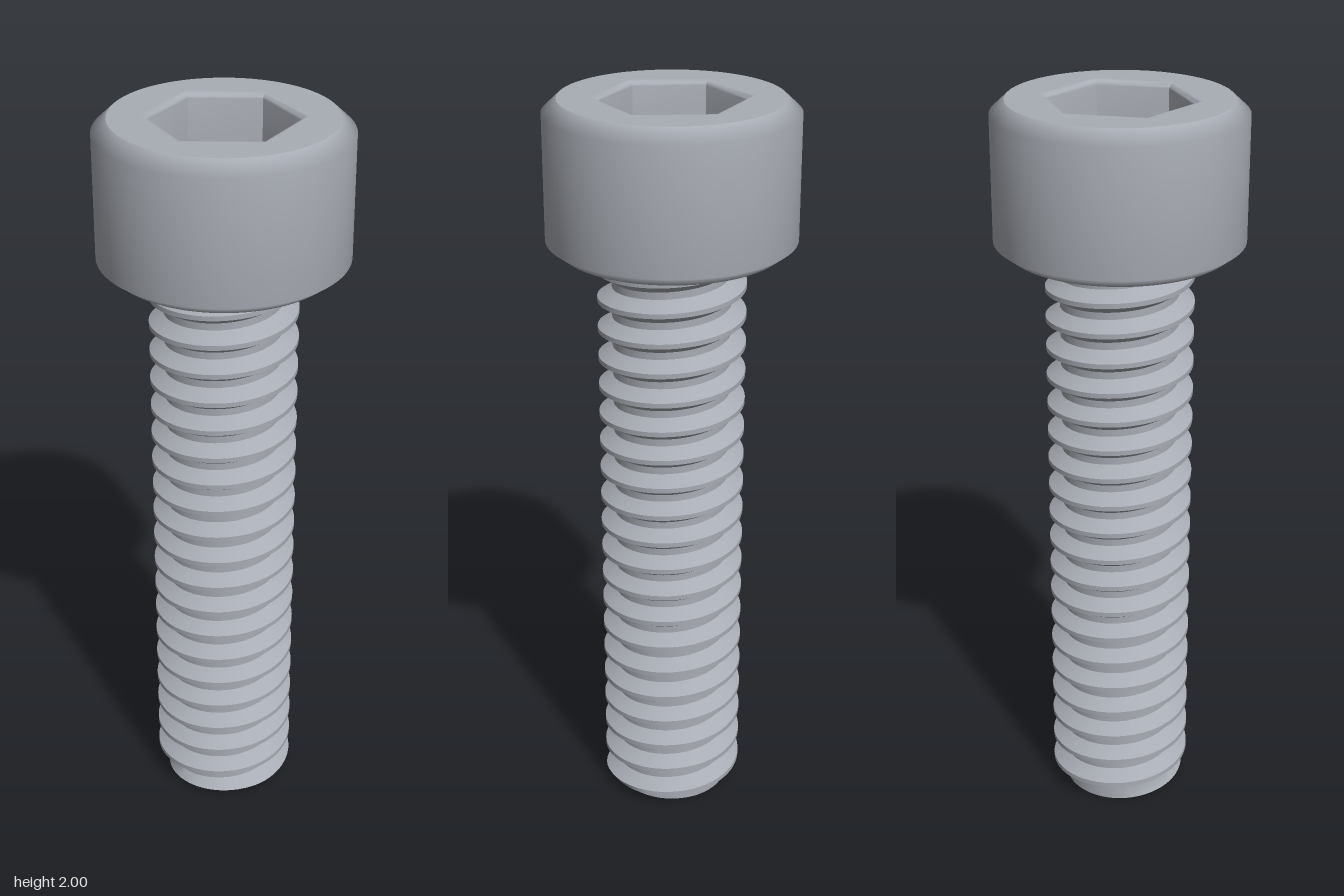
import * as THREE from 'three';
import { toCreasedNormals } from 'three/addons/utils/BufferGeometryUtils.js';

const HEAD_BOTTOM = 1.615, TOP = 2, SEGMENTS = 96;

// Surface from rows of points around the y axis; ringPoint(row, angle) gives [radius, y]
function ringSurface(rows, columns, ringPoint, crease) {
  const positions = [], index = [];
  for (let i = 0; i < rows; i++) {
    for (let j = 0; j <= columns; j++) {
      const angle = (j / columns) * Math.PI * 2;
      const [r, y] = ringPoint(i, angle);
      positions.push(r * Math.cos(angle), y, -r * Math.sin(angle));
      if (i < rows - 1 && j < columns) {
        const a = i * (columns + 1) + j, c = a + columns + 1;
        index.push(a, a + 1, c + 1, a, c + 1, c);
      }
    }
  }
  const geometry = new THREE.BufferGeometry();
  geometry.setAttribute('position', new THREE.Float32BufferAttribute(positions, 3));
  geometry.setIndex(index);
  return toCreasedNormals(geometry, crease);
}

export function createModel() {
  const group = new THREE.Group();
  const steel = new THREE.MeshStandardMaterial({ color: 0xa8acb4 });
  steel.name = 'steel';
  const add = (name, geometry) => {
    const mesh = new THREE.Mesh(geometry, steel);
    mesh.name = name;
    group.add(mesh);
    return mesh;
  };

  // Head side with chamfered rims, shaded smoothly
  const profile = [[0.287, HEAD_BOTTOM], [0.322, 1.642], [0.322, 1.965], [0.284, TOP]];
  add('headSide', new THREE.LatheGeometry(profile.map(p => new THREE.Vector2(...p)), SEGMENTS));

  // Underside of the head
  const underside = add('headUnderside', new THREE.CircleGeometry(0.287, SEGMENTS));
  underside.rotation.x = Math.PI / 2;
  underside.position.y = HEAD_BOTTOM;

  // Top face with hexagonal opening
  const socketRadius = 0.187, rounding = 0.018, socketFloor = 1.8;
  const face = new THREE.Shape().absarc(0, 0, 0.284, 0, Math.PI * 2, false);
  const hexagon = [];
  for (let k = 0; k < 6; k++) {
    const a = -k * Math.PI / 3, r = socketRadius + rounding;
    hexagon.push(new THREE.Vector2(r * Math.cos(a), r * Math.sin(a)));
  }
  face.holes.push(new THREE.Path(hexagon));
  const top = add('headTop', new THREE.ShapeGeometry(face, SEGMENTS / 2));
  top.rotation.x = -Math.PI / 2;
  top.position.y = TOP;

  // Socket wall with a rounded lip, then its floor
  const lipSteps = 6;
  add('socketWall', ringSurface(lipSteps + 2, 6, i => {
    if (i > lipSteps) return [socketRadius, socketFloor];
    const t = (i / lipSteps) * Math.PI / 2;
    return [socketRadius + rounding * (1 - Math.sin(t)), TOP - rounding * (1 - Math.cos(t))];
  }, 0.7));
  const floor = add('socketFloor', new THREE.CircleGeometry(socketRadius, 6));
  floor.rotation.x = -Math.PI / 2;
  floor.position.y = socketFloor;

  // Right-handed helical thread, tapered at the tip
  const pitch = HEAD_BOTTOM / 20, rootRadius = 0.155, crestRadius = 0.193, crestStart = 0.04;
  const thread = [[-0.08, crestRadius], [0.08, crestRadius], [0.38, rootRadius], [0.62, rootRadius]];
  add('threadedShank', ringSurface(23 * thread.length, SEGMENTS, (i, angle) => {
    const turn = Math.floor(i / thread.length) - 2;
    const [offset, radius] = thread[i % thread.length];
    const rise = crestStart + (turn + offset + angle / (Math.PI * 2)) * pitch;
    const y = THREE.MathUtils.clamp(rise, 0, HEAD_BOTTOM);
    return [Math.min(radius, rootRadius + y * 1.1), y];
  }, 0.6));

  // Flat tip
  const tip = add('shankTip', new THREE.CircleGeometry(rootRadius, SEGMENTS));
  tip.rotation.x = Math.PI / 2;

  return group;
}
